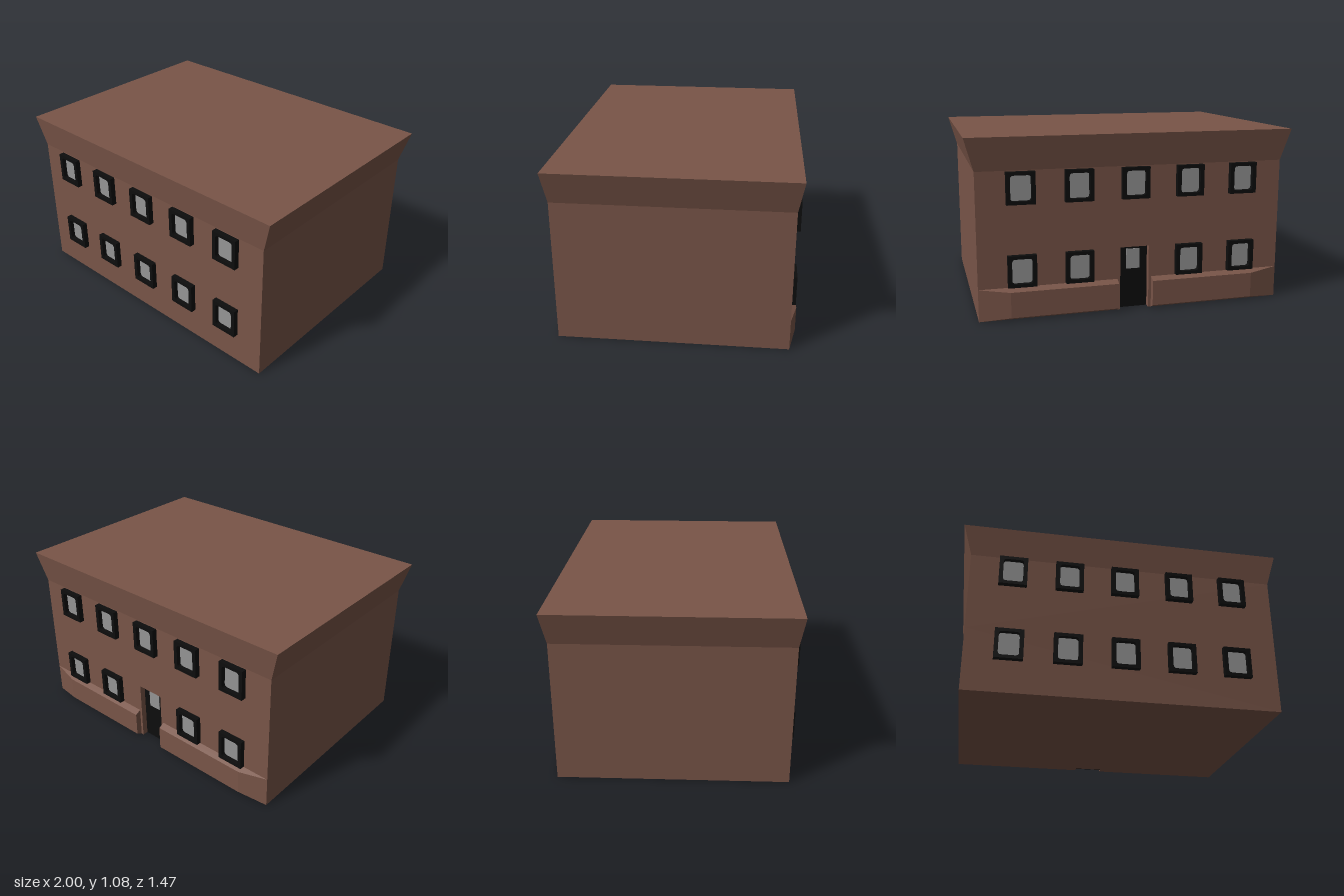
import * as THREE from 'three';

const brick = new THREE.MeshStandardMaterial({ color: 0x795548 });
brick.name = 'brownBrick';
const black = new THREE.MeshStandardMaterial({ color: 0x0d0d0d });
black.name = 'blackFrame';
const glass = new THREE.MeshStandardMaterial({ color: 0x959595 });
glass.name = 'greyGlass';

// Wall extents, storey heights and door recess
const HX = 0.945, ZF = 0.70, ZB = -0.695, WALL_TOP = 0.885, TOP = 1.08;
const DOOR_W = 0.09, DOOR_H = 0.39, RECESS = 0.045;

function part(name, geometry, material, x = 0, y = 0, z = 0) {
  const mesh = new THREE.Mesh(geometry, material);
  mesh.name = name;
  mesh.position.set(x, y, z);
  return mesh;
}

// Box whose corners are moved by a rule, with flat faces
function shapedBox(rule) {
  const geometry = new THREE.BoxGeometry(2, 2, 2).toNonIndexed();
  const p = geometry.attributes.position;
  for (let i = 0; i < p.count; i++) p.setXYZ(i, ...rule(p.getX(i), p.getY(i), p.getZ(i)));
  geometry.computeVertexNormals();
  return geometry;
}

// Rounded rectangle used for the window openings
function roundedRect(w, h, r) {
  const path = new THREE.Path();
  const x = w / 2, y = h / 2;
  path.moveTo(-x + r, -y);
  path.lineTo(x - r, -y).quadraticCurveTo(x, -y, x, -y + r);
  path.lineTo(x, y - r).quadraticCurveTo(x, y, x - r, y);
  path.lineTo(-x + r, y).quadraticCurveTo(-x, y, -x, y - r);
  path.lineTo(-x, -y + r).quadraticCurveTo(-x, -y, -x + r, -y);
  return path;
}

// Window frame standing out from the wall, with the pane at the wall
const frameShape = new THREE.Shape([
  new THREE.Vector2(-0.085, -0.095), new THREE.Vector2(0.085, -0.095),
  new THREE.Vector2(0.085, 0.095), new THREE.Vector2(-0.085, 0.095),
]);
frameShape.holes.push(roundedRect(0.122, 0.15, 0.02));
const frameGeometry = new THREE.ExtrudeGeometry(frameShape, { depth: 0.033, bevelEnabled: false, curveSegments: 3 });
const paneGeometry = new THREE.BoxGeometry(0.14, 0.165, 0.004);

function makeWindow(x, y, back) {
  const group = new THREE.Group();
  group.name = 'window';
  group.add(part('windowFrame', frameGeometry, black));
  group.add(part('windowPane', paneGeometry, glass, 0, 0, 0.003));
  group.position.set(x, y, back ? ZB : ZF);
  if (back) group.rotation.y = Math.PI;
  return group;
}

export function createModel() {
  const model = new THREE.Group();
  model.name = 'building';

  // Lower wall: floor plan with a door notch at the back (plan y is -z)
  const plan = new THREE.Shape();
  plan.moveTo(-HX, -ZF);
  [[HX, -ZF], [HX, -ZB], [DOOR_W, -ZB], [DOOR_W, -ZB - RECESS],
    [-DOOR_W, -ZB - RECESS], [-DOOR_W, -ZB], [-HX, -ZB]].forEach(([x, y]) => plan.lineTo(x, y));
  const lower = new THREE.ExtrudeGeometry(plan, { depth: DOOR_H, bevelEnabled: false });
  lower.rotateX(-Math.PI / 2);
  model.add(part('lowerWalls', lower, brick));

  // Upper wall
  const upperH = WALL_TOP - DOOR_H;
  model.add(part('upperWalls', new THREE.BoxGeometry(2 * HX, upperH, ZF - ZB), brick,
    0, DOOR_H + upperH / 2, (ZF + ZB) / 2));

  // Flared parapet with flat roof
  model.add(part('flaredRoof', shapedBox((x, y, z) => y > 0
    ? [x, TOP, z * 0.726]
    : [x * HX, WALL_TOP, z > 0 ? ZF : ZB]), brick));

  // Windows: two rows of five, with the door in place of one at the back
  for (const back of [false, true]) {
    for (const y of [0.295, 0.785]) {
      for (let i = -2; i <= 2; i++) {
        if (back && i === 0 && y < 0.5) continue;
        model.add(makeWindow(i * 0.3435, y, back));
      }
    }
  }

  // Recessed door with a small pane
  const doorZ = ZB + RECESS;
  model.add(part('door', new THREE.BoxGeometry(2 * DOOR_W, DOOR_H, 0.008), black, 0, DOOR_H / 2, doorZ - 0.004));
  model.add(part('doorPane', new THREE.BoxGeometry(0.085, 0.125, 0.004), glass, 0, 0.307, doorZ - 0.009));

  // Tapered plinths on both sides of the door
  for (const side of [-1, 1]) {
    const plinth = shapedBox((x, y, z) => {
      const outer = z < 0;
      const far = x * side > 0;
      const px = far ? (outer ? 0.76 : HX) : 0.107;
      const py = y > 0 ? (outer ? 0.175 : 0.195) : (outer ? 0.02 : 0);
      return [side * px, py, outer ? -0.733 : ZB];
    });
    model.add(part('plinth', plinth, brick));
  }
  return model;
}
